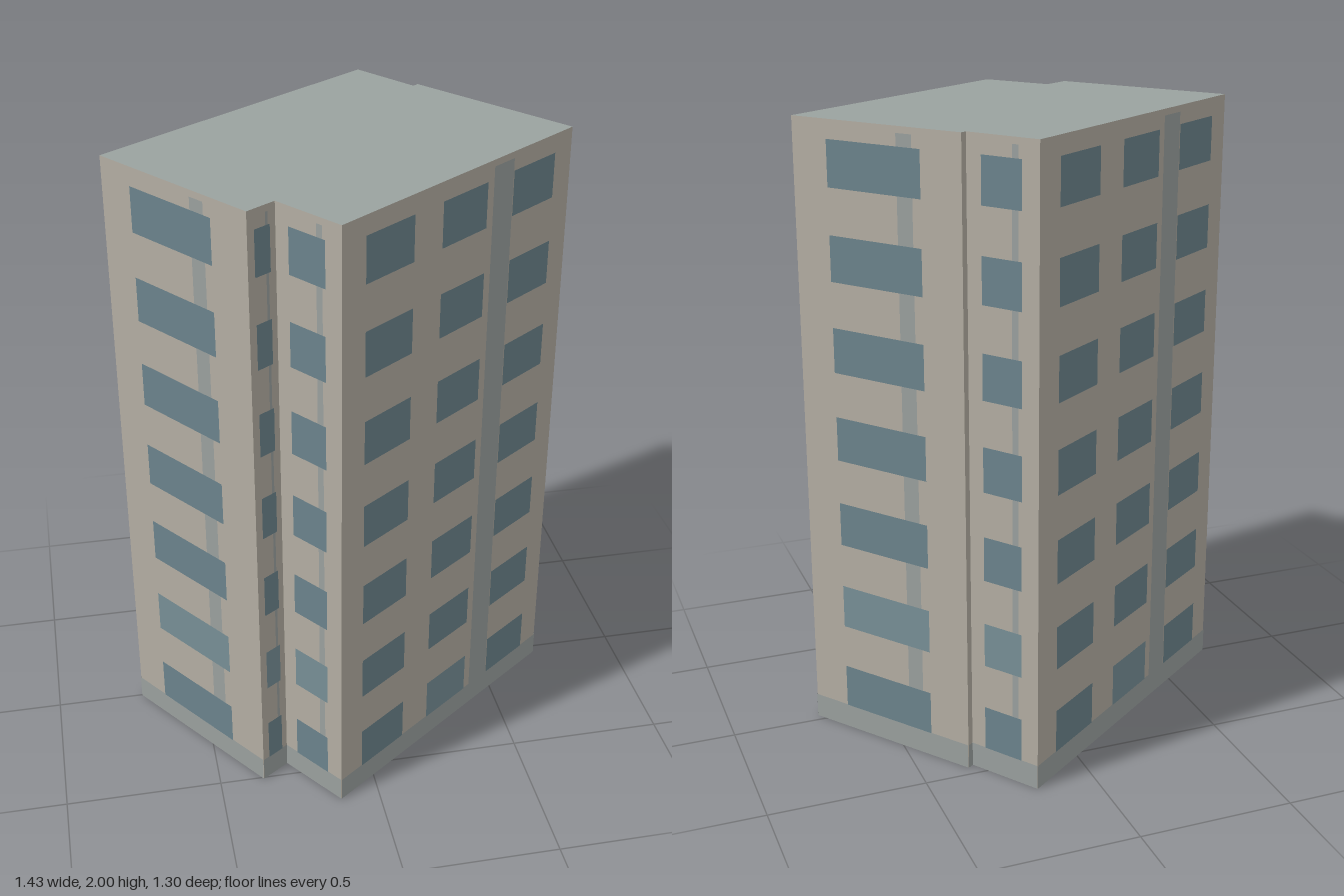
import * as THREE from 'three';

const HEIGHT = 2, FLOORS = 7, STEP = 0.2865, WINDOW_H = 0.143, FIRST_SILL = 0.08;

// Footprint corners [x, z], counter-clockwise seen from above
const FOOTPRINT = [
  [-0.712, 0], [-0.357, 0.504], [-0.27, 0.444], [-0.125, 0.646],
  [0.71, 0.031], [0.347, -0.461], [0.329, -0.448], [0.188, -0.652],
];

const material = (color) => new THREE.MeshStandardMaterial({ color, side: THREE.DoubleSide });

export function createModel() {
  const building = new THREE.Group();
  building.name = 'apartmentBlock';
  const wallMat = material(0xb3ada2);
  const roofMat = material(0x9aa29f);
  const trimMat = material(0x9aa09e);
  const glassMat = material(0x6b838c);
  const litGlassMat = material(0x778f96);

  // Upright panel between x0..x1 along a wall and y0..y1, set slightly proud of it
  const addPanel = (parent, name, mat, x0, x1, y0, y1, offset) => {
    const panel = new THREE.Mesh(new THREE.PlaneGeometry(x1 - x0, y1 - y0), mat);
    panel.position.set((x0 + x1) / 2, (y0 + y1) / 2, offset);
    panel.name = name;
    parent.add(panel);
  };

  FOOTPRINT.forEach(([x, z], i) => {
    const [nx, nz] = FOOTPRINT[(i + 1) % FOOTPRINT.length];
    const length = Math.hypot(nx - x, nz - z);

    // Each side starts at its corner, runs along local x and faces local +z
    const side = new THREE.Group();
    side.name = 'side' + (i + 1);
    side.position.set(x, 0, z);
    side.rotation.y = Math.atan2(z - nz, nx - x);
    building.add(side);

    addPanel(side, 'wall', wallMat, 0, length, 0, HEIGHT, 0);
    addPanel(side, 'plinth', trimMat, 0, length, 0, 0.08, 0.002);
    if (length < 0.05) return; // the tiny return has no openings

    addPanel(side, 'verticalStrip', trimMat, length * 0.63, length * 0.72, 0.08, 1.98, 0.002);

    // Long sides carry three windows per floor, short sides one
    const long = length > 0.8;
    const spans = long ? [[0.09, 0.285], [0.405, 0.6], [0.72, 0.915]] : [[0.215, 0.77]];
    for (let floor = 0; floor < FLOORS; floor++) {
      const sill = FIRST_SILL + floor * STEP;
      spans.forEach(([a, b], column) => {
        const lit = long ? floor === 0 && column === 1 : floor === 1;
        addPanel(side, 'window', lit ? litGlassMat : glassMat,
          a * length, b * length, sill, sill + WINDOW_H, 0.004);
      });
    }
  });

  // Flat roof following the footprint; the underside of the block is open
  const outline = new THREE.Shape(FOOTPRINT.map(([x, z]) => new THREE.Vector2(x, -z)));
  const roof = new THREE.Mesh(new THREE.ShapeGeometry(outline).rotateX(-Math.PI / 2), roofMat);
  roof.position.y = HEIGHT;
  roof.name = 'roof';
  building.add(roof);

  return building;
}
